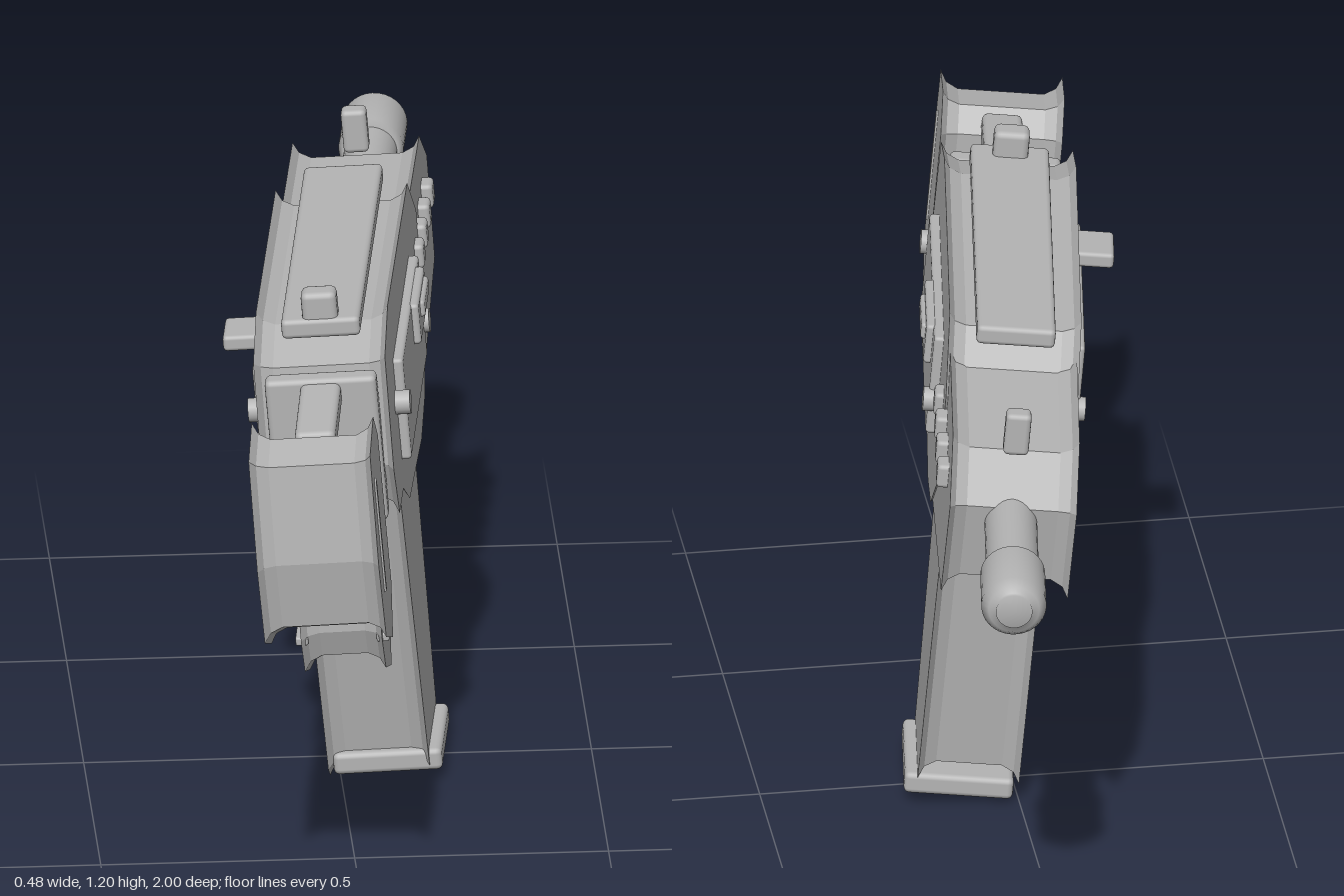
import * as THREE from 'three';
import { RoundedBoxGeometry } from 'three/addons/geometries/RoundedBoxGeometry.js';

const grey = new THREE.MeshStandardMaterial({ color: 0xb4b4b4 });
grey.name = 'grey';

// Flat-sided slab from a [z, y] outline; its rim hollows inward between the two side faces.
function flangedSlab(outline, half, inset = 0.03) {
  let pts = outline.map(([z, y]) => new THREE.Vector2(-z, y));
  if (THREE.ShapeUtils.isClockWise(pts)) pts.reverse();
  const n = pts.length;
  const shrink = (d) => pts.map((p, i) => {
    const a = p.clone().sub(pts[(i + n - 1) % n]).normalize();
    const b = pts[(i + 1) % n].clone().sub(p).normalize();
    const na = new THREE.Vector2(-a.y, a.x), nb = new THREE.Vector2(-b.y, b.x);
    return na.clone().add(nb).multiplyScalar(d / (1 + na.dot(nb))).add(p);
  });
  const rings = [[-half, 0], [-half + 0.012, 0.65], [-half + 0.035, 1],
    [half - 0.035, 1], [half - 0.012, 0.65], [half, 0]]
    .map(([x, k]) => shrink(k * inset).map((p) => [x, p.y, -p.x]));
  const pos = [];
  const tri = (a, b, c) => pos.push(...a, ...b, ...c);
  for (let r = 0; r < rings.length - 1; r++) {
    for (let i = 0; i < n; i++) {
      const j = (i + 1) % n, lo = rings[r], hi = rings[r + 1];
      tri(lo[i], lo[j], hi[j]);
      tri(lo[i], hi[j], hi[i]);
    }
  }
  for (const [a, b, c] of THREE.ShapeUtils.triangulateShape(pts, [])) {
    tri(rings[5][a], rings[5][b], rings[5][c]);
    tri(rings[0][a], rings[0][c], rings[0][b]);
  }
  const g = new THREE.BufferGeometry();
  g.setAttribute('position', new THREE.Float32BufferAttribute(pos, 3));
  g.computeVertexNormals();
  return g;
}

export function createModel() {
  const root = new THREE.Group();
  const body = new THREE.Group();
  body.name = 'blaster';
  // The whole piece leans and turns slightly.
  body.rotation.set(0, -0.128, 0.085);
  body.position.set(0.095, -0.01, -0.007);
  root.add(body);

  const add = (name, geometry) => {
    const m = new THREE.Mesh(geometry, grey);
    m.name = name;
    body.add(m);
    return m;
  };
  const box = (name, w, h, d, x, y, z, tilt = 0) => {
    const m = add(name, new RoundedBoxGeometry(w, h, d, 2, Math.min(w, h, d) * 0.25));
    m.position.set(x, y, z);
    m.rotation.x = tilt;
    return m;
  };

  // Main slabs
  add('receiver', flangedSlab([[0.59, 1.12], [0.44, 1.165], [-0.18, 1.155], [-0.31, 1.04], [-0.31, 0.85],
    [-0.15, 0.715], [0, 0.685], [0.35, 0.71], [0.46, 0.78], [0.58, 0.78], [0.62, 0.89]], 0.13));
  add('frontShroud', flangedSlab([[-0.1, 1.1], [-0.56, 1.09], [-0.68, 0.995], [-0.65, 0.79], [-0.1, 0.705]], 0.125));
  add('magazine', flangedSlab([[0.245, 0.74], [0.145, 0.05], [0.115, 0.025], [-0.105, 0.075], [-0.16, 0.76]], 0.1));
  add('grip', flangedSlab([[0.65, 0.74], [0.57, 0.8], [0.46, 0.8], [0.44, 0.71], [0.41, 0.68], [0.42, 0.53],
    [0.52, 0.43], [0.635, 0.475], [0.66, 0.55]], 0.08));
  add('stock', flangedSlab([[0.97, 1.075], [0.835, 1.1], [0.775, 1.035], [0.775, 0.72], [0.845, 0.63],
    [0.98, 0.69], [1.0, 0.85]], 0.12));

  // Magazine floor plate
  box('floorPlate', 0.215, 0.045, 0.235, 0.017, 0.055, 0.02);

  // Stock struts and rear plate
  box('upperStrut', 0.08, 0.05, 0.25, 0, 1.05, 0.7, 0.07);
  box('lowerStrut', 0.08, 0.045, 0.25, 0, 0.845, 0.7, 0.07);
  box('rearPlate', 0.22, 0.31, 0.045, 0, 0.935, 0.595);

  // Top rail and sights
  box('topRail', 0.155, 0.04, 0.76, 0, 1.15, 0.125);
  box('rearSight', 0.07, 0.065, 0.05, 0, 1.19, 0.475);
  box('frontSight', 0.05, 0.09, 0.04, 0, 1.11, -0.565);

  // Barrel and muzzle
  const barrel = add('barrel', new THREE.CylinderGeometry(0.052, 0.052, 0.3, 32));
  barrel.rotation.x = Math.PI / 2;
  barrel.position.set(0, 0.943, -0.72);
  const muzzle = add('muzzle', new THREE.LatheGeometry([[0, 0], [0.055, 0], [0.064, 0.012], [0.064, 0.14],
    [0.05, 0.155], [0.036, 0.155], [0.036, 0.165], [0, 0.165]].map(([r, h]) => new THREE.Vector2(r, h)), 32));
  muzzle.rotation.x = -Math.PI / 2;
  muzzle.position.set(0, 0.943, -0.835);

  // Side panels with corner screws, mirrored
  for (const s of [1, -1]) {
    box('sidePanel', 0.03, 0.215, 0.515, s * 0.134, 0.937, 0.177);
    for (const [z, y] of [[0.46, 0.965], [-0.075, 0.905]]) {
      const screw = add('panelScrew', new THREE.CylinderGeometry(0.024, 0.024, 0.05, 20));
      screw.rotation.z = Math.PI / 2;
      screw.position.set(s * 0.135, y, z);
    }
    // Grip ribs and stock slot
    for (let i = 0; i < 5; i++) box('gripRib', 0.025, 0.018, 0.1, s * 0.08, 0.705 - i * 0.04, 0.595, 0.04);
    box('stockSlot', 0.012, 0.24, 0.016, s * 0.118, 0.885, 0.925);
  }

  // Ejection port and its raised latch
  box('ejectionPort', 0.03, 0.085, 0.195, 0.148, 1.0, 0.068);
  box('ejectionLatch', 0.03, 0.035, 0.13, 0.157, 1.015, 0.06);

  // Vent studs on the shroud
  for (let i = 0; i < 4; i++) box('ventStud', 0.035, 0.05, 0.05, 0.13, 0.985, -0.225 - i * 0.098);

  // Selector and ridges on the far side
  box('selector', 0.1, 0.032, 0.1, -0.16, 1.06, 0.3);
  for (let i = 0; i < 4; i++) box('panelRidge', 0.012, 0.04, 0.016, -0.15, 0.95, 0.06 + i * 0.028);

  // Trigger and guard
  const guard = new THREE.CurvePath();
  const g = [[0.44, 0.56], [0.33, 0.55], [0.26, 0.61], [0.255, 0.73]].map(([z, y]) => new THREE.Vector3(0, y, z));
  for (let i = 0; i < 3; i++) guard.add(new THREE.LineCurve3(g[i], g[i + 1]));
  add('triggerGuard', new THREE.TubeGeometry(guard, 36, 0.016, 8));
  box('trigger', 0.03, 0.12, 0.025, 0, 0.67, 0.365, 0.35);

  return root;
}
